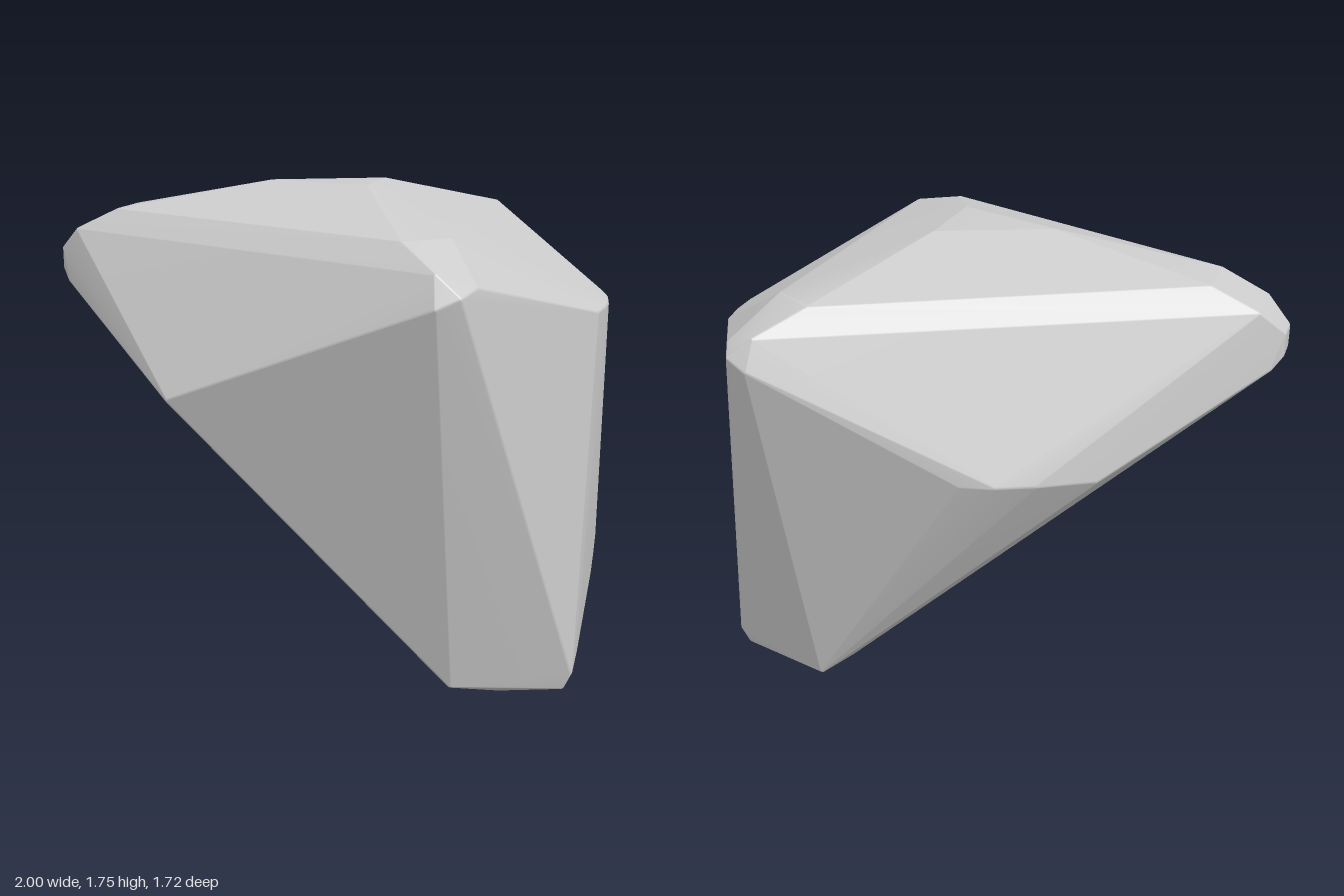
import * as THREE from 'three';
import { ConvexGeometry } from 'three/addons/geometries/ConvexGeometry.js';
import { mergeVertices } from 'three/addons/utils/BufferGeometryUtils.js';

const BEVEL = 0.014;

// Shared points of a geometry, without duplicates
function weld(geometry) {
  geometry.deleteAttribute('normal');
  geometry.deleteAttribute('uv');
  return mergeVertices(geometry, 1e-5);
}

// Convex hull with narrow rounded edges: a small ball sits just inside every corner
function softHull(corners) {
  const ball = weld(new THREE.IcosahedronGeometry(BEVEL, 2)).attributes.position;
  const centre = new THREE.Vector3(0.15, 0.95, 0);
  const points = [];
  for (const corner of corners) {
    const inward = centre.clone().sub(corner).setLength(BEVEL);
    for (let i = 0; i < ball.count; i++) {
      points.push(new THREE.Vector3().fromBufferAttribute(ball, i).add(corner).add(inward));
    }
  }
  const hull = weld(new ConvexGeometry(points));
  hull.computeVertexNormals();
  return hull;
}

export function createModel() {
  const group = new THREE.Group();
  group.name = 'rock';
  const stone = new THREE.MeshStandardMaterial({ color: 0xcccccc });
  stone.name = 'grey stone';

  const corners = [];
  const add = (x, y, z) => corners.push(new THREE.Vector3(x, y, z));
  const pair = (x, y, z) => { add(x, y, z); add(x, y, -z); };

  // crown
  add(-0.2, 1.75, 0);
  pair(0.18, 1.752, 0.16);
  pair(0.54, 1.635, 0.6);
  pair(0.4, 1.635, 0.69);

  // overhanging tip
  pair(-0.76, 1.64, 0.1);
  pair(-0.92, 1.565, 0.095);
  pair(-1, 1.49, 0.045);
  pair(-1, 1.42, 0.045);
  pair(-0.97, 1.38, 0.075);

  // wide shoulders
  pair(0.53, 1.56, 0.82);
  pair(0.54, 1.47, 0.858);
  pair(0.605, 1.5, 0.84);
  pair(0.64, 1.52, 0.77);

  // side bulges, blunter at the back
  add(-0.4, 1.08, 0.605);
  add(-0.09, 1.085, -0.672);
  add(-0.2, 1.08, -0.64);
  add(-0.32, 1.075, -0.575);
  add(-0.49, 1.065, -0.455);

  // gently curved upright end
  for (const [z, x] of [[0, 1], [0.1, 0.994], [0.2, 0.975]]) {
    pair(x, 1.36, z);
    pair(x, 0.5 - z, z);
  }

  // rounded foot
  pair(0.965, 0.17, 0.29);
  pair(0.955, 0.12, 0.355);
  pair(0.93, 0.06, 0.345);
  pair(0.91, 0.032, 0.28);
  pair(0.71, 0.003, 0.3);
  pair(0.56, 0.08, 0.47);
  pair(0.49, 0.1, 0.36);

  const body = new THREE.Mesh(softHull(corners), stone);
  body.name = 'boulder';
  group.add(body);
  return group;
}
